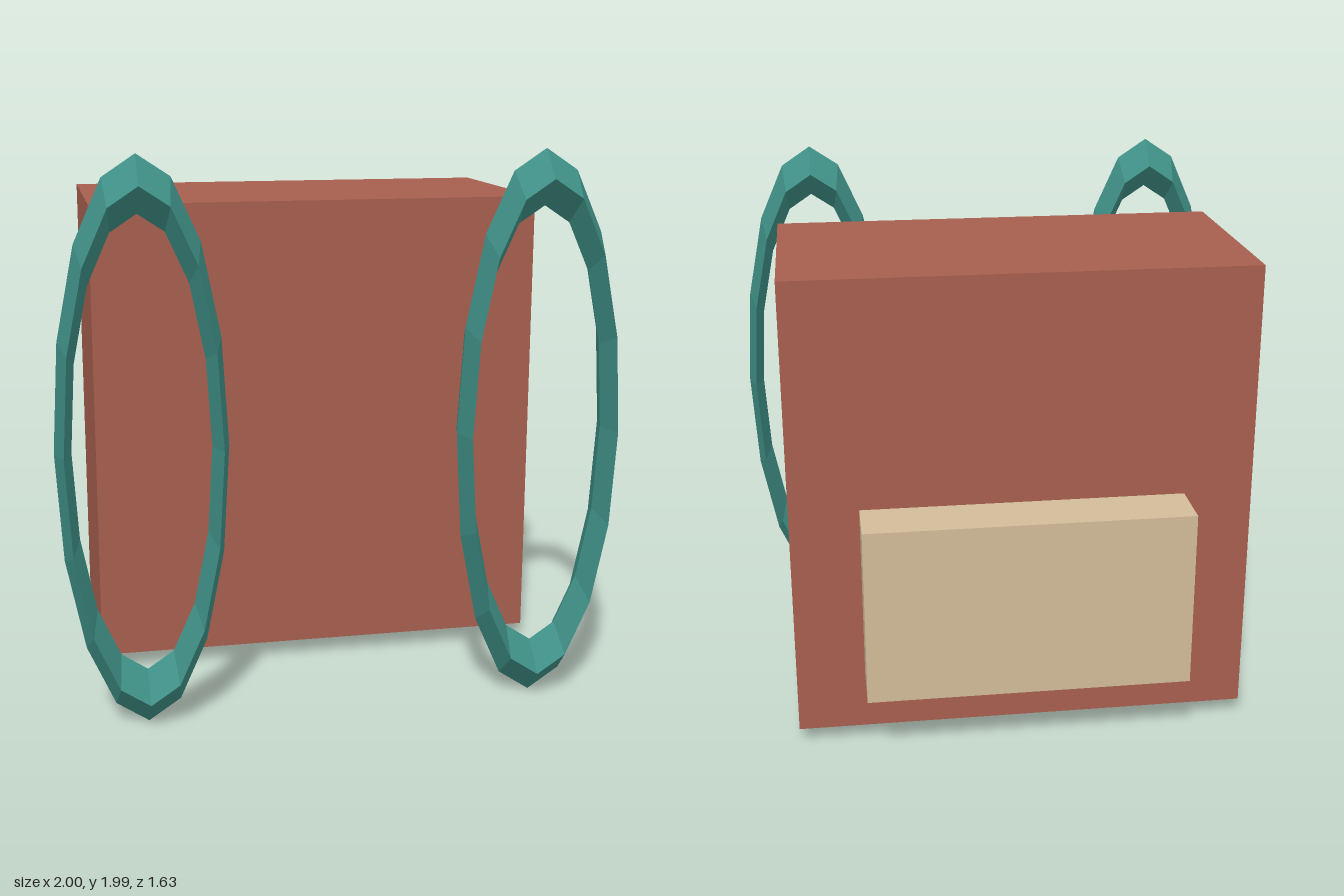
import * as THREE from 'three';

const material = (color) => new THREE.MeshStandardMaterial({ color, flatShading: true });

export function createModel() {
  const model = new THREE.Group();
  model.name = 'backpack';

  const add = (name, geometry, mat, x, y, z) => {
    const mesh = new THREE.Mesh(geometry, mat);
    mesh.name = name;
    mesh.position.set(x, y, z);
    model.add(mesh);
    return mesh;
  };

  // Main bag and the pocket on its back
  add('bagBody', new THREE.BoxGeometry(1.674, 1.715, 0.856), material(0xa65f4e), 0, 0.921, -0.182);
  add('backPocket', new THREE.BoxGeometry(1.174, 0.66, 0.205), material(0xd2bc98), 0, 0.608, -0.71);

  // Shoulder straps: four-sided rings squeezed into narrow ovals
  const strapGeometry = new THREE.TorusGeometry(0.896, 0.098, 4, 16).scale(0.299, 1, 1);
  const strapMaterial = material(0x3f8f86);
  for (const [name, side] of [['leftStrap', 1], ['rightStrap', -1]]) {
    add(name, strapGeometry, strapMaterial, side * 0.703, 0.995, 0.716);
  }

  return model;
}
